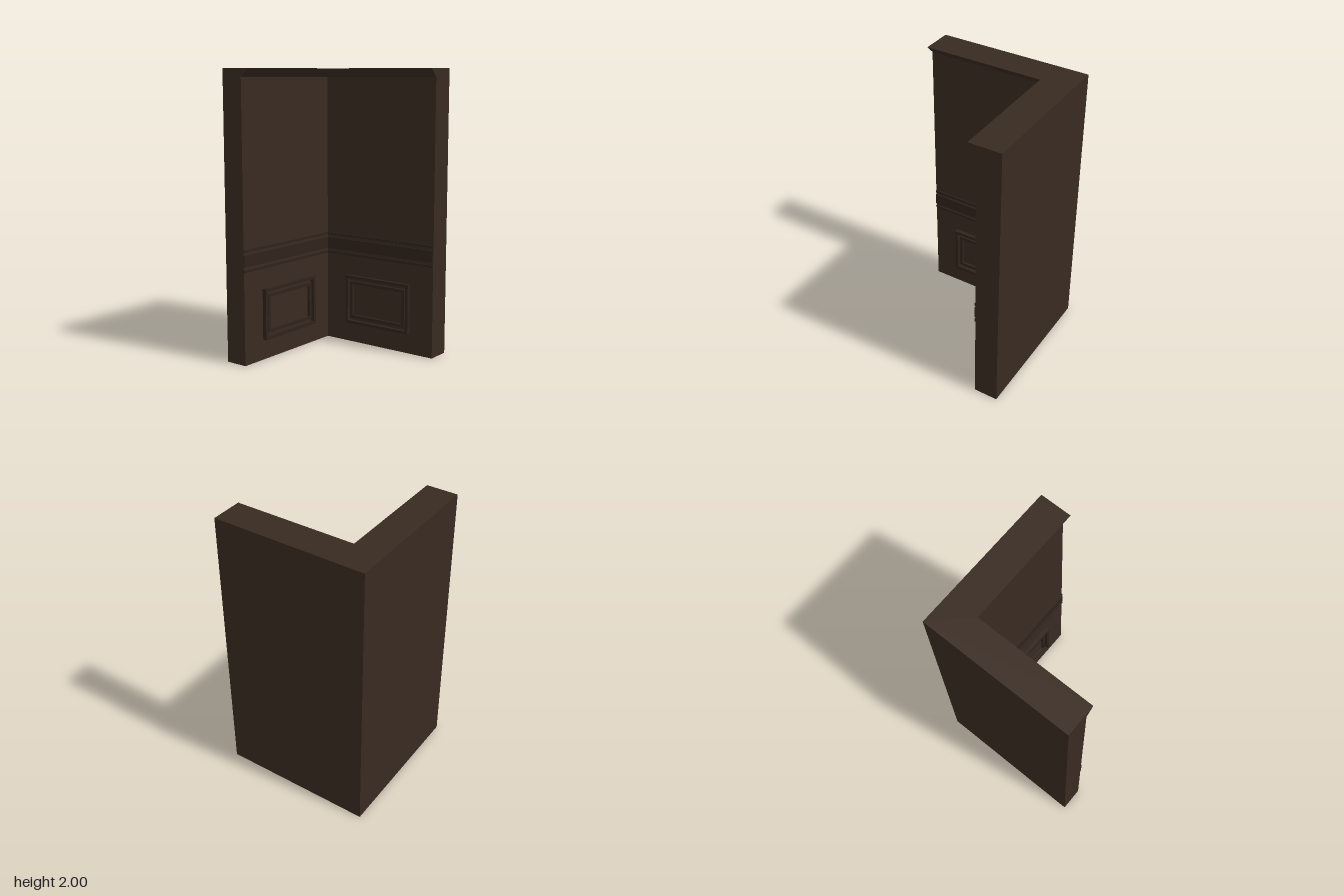
import * as THREE from 'three';

const HALF = 0.54, HEIGHT = 2;
const BACK_T = 0.163, SIDE_T = 0.17;        // wall thicknesses
const CORNICE_Y = 1.94, CORNICE_OUT = 0.058;

const wallMat = new THREE.MeshStandardMaterial({ color: 0x382a21 });
const trimMat = new THREE.MeshStandardMaterial({ color: 0x2f231b });

// Wall profile (depth from the outer face, height), including the sloped cornice
const profile = (t) => [[0, 0], [t, 0], [t, CORNICE_Y], [t + CORNICE_OUT, HEIGHT], [0, HEIGHT]];

// Sweep the profile along the L with a mitred inside corner
function cornerWallGeometry() {
  const back = profile(BACK_T), side = profile(SIDE_T), n = back.length;
  const sections = [
    back.map(([d, y]) => [-HALF, y, -HALF + d]),
    back.map(([d, y], i) => [HALF - side[i][0], y, -HALF + d]),
    side.map(([d, y]) => [HALF - d, y, HALF]),
  ];
  const pos = [];
  const tri = (a, b, c) => pos.push(...a, ...b, ...c);
  for (let s = 0; s < 2; s++) {
    const a = sections[s], b = sections[s + 1];
    for (let i = 0; i < n; i++) {
      const j = (i + 1) % n;
      tri(a[i], b[i], b[j]);
      tri(a[i], b[j], a[j]);
    }
  }
  // End caps, fanned from the outer top corner
  for (let i = 0; i < n - 2; i++) {
    tri(sections[0][n - 1], sections[0][i], sections[0][i + 1]);
    tri(sections[2][n - 1], sections[2][i + 1], sections[2][i]);
  }
  const geo = new THREE.BufferGeometry();
  geo.setAttribute('position', new THREE.Float32BufferAttribute(pos, 3));
  geo.computeVertexNormals();
  return geo;
}

function rectangle(path, w, h) {
  path.moveTo(-w / 2, -h / 2);
  path.lineTo(w / 2, -h / 2);
  path.lineTo(w / 2, h / 2);
  path.lineTo(-w / 2, h / 2);
  path.closePath();
  return path;
}

// Rectangular moulding with an open middle
function frame(name, w, h, border, depth) {
  const shape = rectangle(new THREE.Shape(), w, h);
  shape.holes.push(rectangle(new THREE.Path(), w - 2 * border, h - 2 * border));
  const geo = new THREE.ExtrudeGeometry(shape, { depth, bevelEnabled: false });
  const mesh = new THREE.Mesh(geo, trimMat);
  mesh.name = name;
  mesh.position.y = 0.323;
  return mesh;
}

// Rails and panel mouldings for one inner wall face, projecting towards local +z
function wallTrim(name, length) {
  const group = new THREE.Group();
  group.name = name;
  const rails = [['lowerRail', 0.645, 0.663], ['chairRail', 0.682, 0.764], ['upperRail', 0.783, 0.8]];
  for (const [railName, y0, y1] of rails) {
    const rail = new THREE.Mesh(new THREE.BoxGeometry(length, y1 - y0, 0.008), trimMat);
    rail.name = railName;
    rail.position.set(0, (y0 + y1) / 2, 0.004);
    group.add(rail);
  }
  group.add(frame('outerPanelFrame', 0.545, 0.36, 0.022, 0.029));
  group.add(frame('innerPanelFrame', 0.472, 0.275, 0.022, 0.02));
  return group;
}

export function createModel() {
  const model = new THREE.Group();
  model.name = 'panelledCornerWall';

  const walls = new THREE.Mesh(cornerWallGeometry(), wallMat);
  walls.name = 'cornerWalls';
  model.add(walls);

  const backTrim = wallTrim('backWallTrim', 2 * HALF - SIDE_T);
  backTrim.position.set(-SIDE_T / 2, 0, -HALF + BACK_T);
  model.add(backTrim);

  const sideTrim = wallTrim('sideWallTrim', 2 * HALF - BACK_T);
  sideTrim.position.set(HALF - SIDE_T, 0, BACK_T / 2);
  sideTrim.rotation.y = -Math.PI / 2;
  model.add(sideTrim);

  return model;
}
